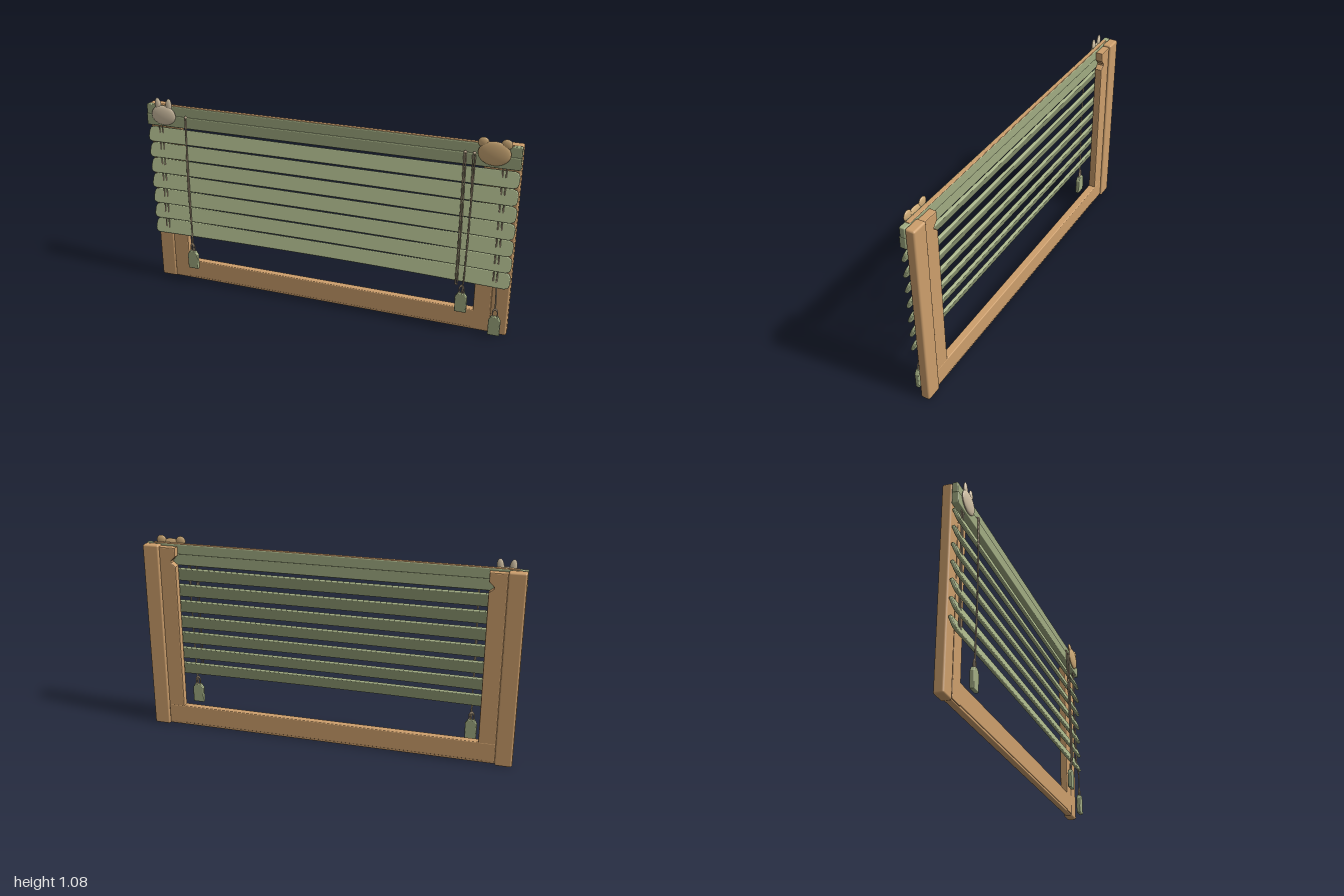
import * as THREE from 'three';
import { RoundedBoxGeometry } from 'three/addons/geometries/RoundedBoxGeometry.js';

const mat = (name, color) => {
  const m = new THREE.MeshStandardMaterial({ color });
  m.name = name;
  return m;
};

export function createModel() {
  const wood = mat('wood', 0xcd9f6c);
  const sage = mat('sage green', 0xa1ac82);
  const cordMat = mat('cord beige', 0xb9a58a);
  const cream = mat('rabbit cream', 0xd6c5a8);
  const honey = mat('bear honey', 0xd0ac78);
  const root = new THREE.Group();
  root.name = 'windowBlind';

  const add = (name, geo, m, x = 0, y = 0, z = 0, parent = root) => {
    const mesh = new THREE.Mesh(geo, m);
    mesh.name = name;
    mesh.position.set(x, y, z);
    parent.add(mesh);
    return mesh;
  };
  // rounded box given by its limits
  const block = (name, m, x0, x1, y0, y1, z0, z1, r = 0.006) =>
    add(name, new RoundedBoxGeometry(x1 - x0, y1 - y0, z1 - z0, 2, r), m,
      (x0 + x1) / 2, (y0 + y1) / 2, (z0 + z1) / 2);
  const cord = (name, pts, r = 0.004) => add(name, new THREE.TubeGeometry(
    new THREE.CatmullRomCurve3(pts.map(p => new THREE.Vector3(...p))), 32, r, 6), cordMat);

  // Window frame: outer posts, notched inner posts, bottom rail
  for (const s of [-1, 1]) {
    const side = s < 0 ? 'right' : 'left';
    block(side + 'OuterPost', wood, s < 0 ? -1 : 0.91, s < 0 ? -0.91 : 1, 0, 1.04, -0.055, -0.005, 0.01);
    const shape = new THREE.Shape([[0.905, 0.015], [0.825, 0.015], [0.825, 0.925], [0.85, 0.945],
      [0.85, 0.96], [0.825, 0.985], [0.825, 1.025], [0.905, 1.025]]
      .map(([x, y]) => new THREE.Vector2(s * x, y)));
    add(side + 'InnerPost', new THREE.ExtrudeGeometry(shape, {
      depth: 0.03, bevelEnabled: true, bevelSize: 0.005, bevelThickness: 0.005, bevelSegments: 2,
    }), wood, 0, 0, -0.041);
  }
  block('bottomRail', wood, -0.91, 0.91, 0.016, 0.12, -0.047, -0.006, 0.005);
  block('bottomSill', wood, -0.91, 0.91, 0.004, 0.02, -0.043, -0.01, 0.004);

  // Headrail with a stepped front and a wooden top strip
  block('headrailUpper', sage, -1, 1, 0.985, 1.04, -0.005, 0.024, 0.005);
  block('headrailLower', sage, -1, 1, 0.926, 0.988, -0.005, 0.029, 0.005);
  block('headrailTopStrip', wood, -0.96, 0.96, 1.036, 1.043, -0.003, 0.018, 0.003);

  // Slats: rounded strips that narrow and arch gently at mid length
  const slatGeometry = (arch) => {
    const L = 0.994, H = 0.037, R = 0.022, n = 20;
    const curve = (x) => 1 - (x / L) ** 2;
    const pts = [];
    const half = (x) => {
      const d = Math.max(0, Math.abs(x) - (L - R));
      return H - R + Math.sqrt(Math.max(0, R * R - d * d)) - 0.004 * curve(x);
    };
    const xs = [-L, -L + 0.003, -L + 0.009];
    for (let i = 0; i <= n; i++) xs.push((L - R) * (2 * i / n - 1));
    xs.push(L - 0.009, L - 0.003, L);
    for (const x of xs) pts.push(new THREE.Vector2(x, arch * curve(x) - half(x)));
    for (const x of xs.reverse()) pts.push(new THREE.Vector2(x, arch * curve(x) + half(x)));
    const g = new THREE.ExtrudeGeometry(new THREE.Shape(pts), {
      depth: 0.006, bevelEnabled: true, bevelSize: 0.005, bevelOffset: 0, bevelThickness: 0.005, bevelSegments: 3,
    });
    return g.translate(0, 0, -0.003);
  };
  for (let i = 0; i < 7; i++) {
    const slat = add('slat' + (i + 1), slatGeometry(0.0013 * i), sage, 0, 0.872 - i * 0.0907, 0.016);
    slat.rotation.x = -0.38;
  }

  // Ladder cords threaded through the slats
  for (const s of [-1, 1]) for (const dx of [-0.009, 0.009]) {
    const x = s * 0.925 + dx;
    cord('ladderCord', [[x, 0.94, 0.018], [x, 0.62, 0.02], [x, 0.32, 0.024]], 0.0035);
  }

  // Pull cords hanging in front
  cord('rightPullCord', [[-0.768, 0.985, 0.034], [-0.766, 0.6, 0.038], [-0.77, 0.2, 0.034]]);
  cord('rightPullCordStrand', [[-0.762, 0.985, 0.036], [-0.772, 0.6, 0.04], [-0.765, 0.2, 0.034]], 0.003);
  for (const dx of [0, 0.009])
    cord('leftLoopCord', [[0.728 + dx, 0.99, 0.034], [0.731 + dx, 0.6, 0.041], [0.73 + dx, 0.28, 0.048]], 0.0035);
  cord('leftPullCord', [[0.782, 0.985, 0.034], [0.776, 0.6, 0.038], [0.77, 0.3, 0.042], [0.762, 0.22, 0.034]]);
  cord('leftPullCordStrand', [[0.77, 0.985, 0.034], [0.778, 0.6, 0.038], [0.766, 0.22, 0.036]], 0.003);
  cord('leftLadderTail', [[0.93, 0.33, 0.024], [0.938, 0.25, 0.034], [0.94, 0.17, 0.034]]);
  for (const [x, y] of [[-0.765, 0.99], [0.732, 0.99], [0.776, 0.99]])
    add('cordBead', new THREE.SphereGeometry(0.008, 10, 8), cordMat, x, y, 0.03);

  // Tassel weights with a cord loop on each
  for (const [x, y] of [[-0.77, 0.152], [0.762, 0.176], [0.941, 0.074]]) {
    const tassel = new THREE.Group();
    tassel.name = 'tassel';
    tassel.position.set(x, y, 0.034);
    root.add(tassel);
    const shape = new THREE.Shape([[-0.026, -0.05], [0.026, -0.05], [0.027, 0.03], [0.015, 0.05],
      [-0.015, 0.05], [-0.027, 0.03]].map(p => new THREE.Vector2(...p)));
    add('tasselWeight', new THREE.ExtrudeGeometry(shape, {
      depth: 0.012, bevelEnabled: true, bevelSize: 0.004, bevelThickness: 0.005, bevelSegments: 3,
    }), sage, 0, 0, -0.006, tassel);
    const loop = add('tasselLoop', new THREE.TorusGeometry(0.013, 0.0035, 6, 20), cordMat, 0, 0.07, 0, tassel);
    loop.scale.y = 1.9;
  }

  // Animal head ornaments, flattened and smooth
  const blob = (name, m, x, y, z, rx, ry, rz, parent, tilt = 0) => {
    const b = add(name, new THREE.SphereGeometry(1, 32, 20), m, x, y, z, parent);
    b.scale.set(rx, ry, rz);
    b.rotation.z = tilt;
  };
  const rabbit = new THREE.Group();
  rabbit.name = 'rabbitOrnament';
  rabbit.position.set(-0.894, 0.99, 0.033);
  const bear = new THREE.Group();
  bear.name = 'bearOrnament';
  bear.position.set(0.872, 1.0, 0.033);
  root.add(rabbit, bear);
  blob('rabbitHead', cream, 0, 0, 0, 0.071, 0.054, 0.013, rabbit);
  blob('bearHead', honey, 0, 0, 0, 0.079, 0.061, 0.013, bear);
  for (const s of [-1, 1]) {
    blob('rabbitEar', cream, s * 0.031, 0.055, -0.003, 0.018, 0.038, 0.009, rabbit, -s * 0.1);
    blob('bearEar', honey, s * 0.055, 0.05, -0.003, 0.027, 0.026, 0.009, bear);
  }
  return root;
}
